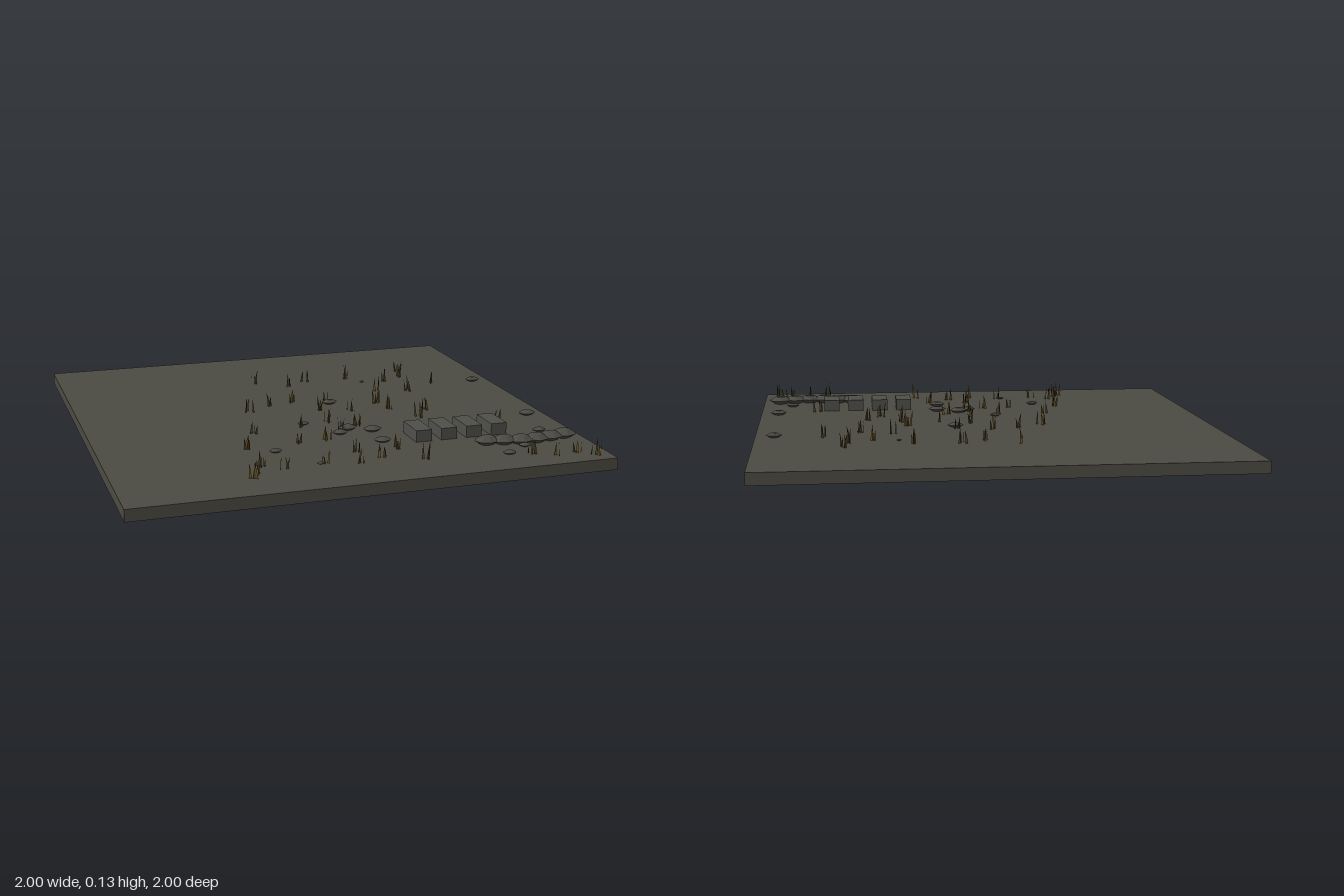
import * as THREE from 'three';
import { mergeGeometries } from 'three/addons/utils/BufferGeometryUtils.js';

const TOP = 0.05; // ground level

const flat = (name, color, extra = {}) =>
  Object.assign(new THREE.MeshStandardMaterial({ color, ...extra }), { name });

function seeded(seed) {
  return () => {
    seed = (seed * 16807) % 2147483647;
    return seed / 2147483647;
  };
}

export function createModel() {
  const group = new THREE.Group();
  const soil = flat('soil', 0x4c4b42);
  const concrete = flat('concrete', 0x4f4f4a);
  const rock = flat('rock', 0x4b4a44, { flatShading: true });
  const dryGrass = flat('dry grass', 0x6a5122, { side: THREE.DoubleSide });
  const darkGrass = flat('dark grass', 0x463a1e, { side: THREE.DoubleSide });

  const add = (name, geometry, material, x = 0, y = 0, z = 0) => {
    const mesh = new THREE.Mesh(geometry, material);
    mesh.name = name;
    mesh.position.set(x, y, z);
    group.add(mesh);
    return mesh;
  };

  // Ground slab
  add('ground', new THREE.BoxGeometry(2, TOP, 2), soil, 0, TOP / 2, 0);

  // Row of four blocks
  for (let i = 0; i < 4; i++) {
    add('block', new THREE.BoxGeometry(0.07, 0.05, 0.15), concrete, 0.335 + i * 0.113, TOP + 0.025, 0.495);
  }

  // Faceted stone: widest at mid height, with a small flat top
  const profile = [[0, 0], [0.5, 0], [1, 0.5], [0.45, 1], [0, 1]].map(p => new THREE.Vector2(...p));
  const stoneGeometry = new THREE.LatheGeometry(profile, 8);
  const stone = (name, x, z, rx, rz, height, turn) => {
    const mesh = add(name, stoneGeometry, rock, x, TOP, z);
    mesh.scale.set(rx, height, rz);
    mesh.rotation.y = turn;
  };

  // Curved line of larger stones
  const arcZ = [0.675, 0.69, 0.705, 0.705, 0.695, 0.68];
  arcZ.forEach((z, i) => stone('barrierStone', 0.573 + i * 0.0695, z, 0.056, 0.047, 0.035, 0));

  // Scattered stones: x, z, radius
  const stones = [
    [0.40, -0.40, 0.012], [0.92, -0.265, 0.035], [0.135, -0.09, 0.036], [-0.075, 0.19, 0.026],
    [0.085, 0.315, 0.041], [0.035, 0.365, 0.034], [0.18, 0.365, 0.041], [0.17, 0.52, 0.038],
    [-0.295, 0.525, 0.028], [-0.165, 0.72, 0.016], [0.92, 0.335, 0.038], [0.86, 0.575, 0.03],
    [0.71, 0.75, 0.027], [0.605, 0.825, 0.029],
  ];
  stones.forEach(([x, z, r]) => stone('stone', x, z, r, r * 0.75, r * 0.55, 0));

  // Grass tufts: x, z
  const tufts = [
    [-0.46, 0.80], [-0.44, 0.77], [-0.40, 0.68], [-0.32, 0.73], [-0.40, 0.46], [-0.14, 0.73], [-0.18, 0.44],
    [0, 0.75], [0.10, 0.72], [0.26, 0.78], [-0.32, 0.26], [-0.04, 0.43], [-0.10, 0.22], [0.05, 0.33],
    [0.03, 0.19], [0.14, 0.27], [-0.25, -0.07], [-0.14, -0.14], [-0.03, -0.15], [-0.10, -0.53], [0.05, -0.44],
    [0.14, -0.48], [0.07, 0], [0.19, 0.04], [0.13, -0.13], [0.36, 0.07], [0.52, 0.13], [0.34, -0.04],
    [0.41, -0.22], [0.34, -0.47], [0.51, -0.37], [0.62, -0.44], [0.63, -0.53], [0.72, -0.28], [0.56, -0.19],
    [0.74, 0.41], [0.45, 0.23], [0.77, 0.90], [0.88, 0.89], [0.70, 0.85], [0.93, 0.94], [0.02, 0.62], [0.20, 0.62],
  ];
  const random = seeded(4711);
  const vary = amount => (random() - 0.5) * 2 * amount;

  // Upright tapering blade that leans within its own plane
  const blade = (x, z) => {
    const h = 0.04 + random() * 0.037, w = 0.0055, lean = vary(0.012);
    const shape = new THREE.Shape([[-w, 0], [w, 0], [w * 0.6 + lean * 0.4, h * 0.55],
      [lean, h], [-w * 0.6 + lean * 0.4, h * 0.55]].map(p => new THREE.Vector2(...p)));
    return new THREE.ShapeGeometry(shape).rotateY(random() * Math.PI).translate(x, TOP, z);
  };
  const dry = [], dark = [];
  tufts.forEach(([x, z]) => {
    for (let i = 0; i < 4; i++) {
      (i % 2 ? dark : dry).push(blade(x + vary(0.018), z + vary(0.018)));
    }
  });
  add('dryGrass', mergeGeometries(dry), dryGrass);
  add('darkGrass', mergeGeometries(dark), darkGrass);

  return group;
}
